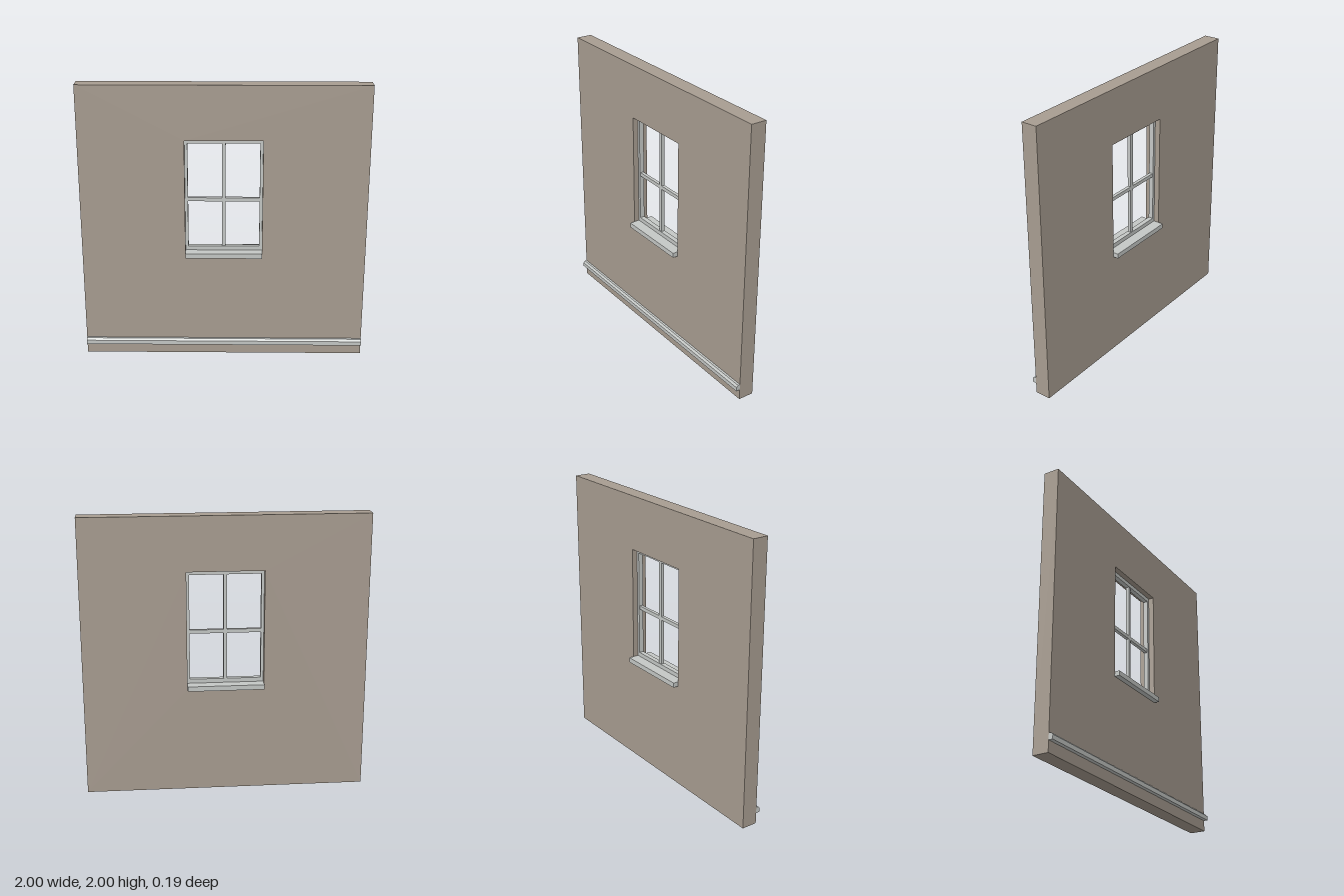
import * as THREE from 'three';

export function createModel() {
  const model = new THREE.Group();
  const plaster = new THREE.MeshStandardMaterial({ color: 0xa89d91 });
  plaster.name = 'plaster';
  const trim = new THREE.MeshStandardMaterial({ color: 0xc5c8c6 });
  trim.name = 'trim';

  const T = 0.056;                                  // half wall thickness
  const W = 0.27, bottom = 0.8, top = 1.615;        // window opening

  function add(name, geometry, material, parent = model) {
    const mesh = new THREE.Mesh(geometry, material);
    mesh.name = name;
    parent.add(mesh);
    return mesh;
  }
  function bar(name, x0, x1, y0, y1, halfDepth, parent) {
    const mesh = add(name, new THREE.BoxGeometry(x1 - x0, y1 - y0, halfDepth * 2), trim, parent);
    mesh.position.set((x0 + x1) / 2, (y0 + y1) / 2, 0);
  }
  function rectangle(Type, x0, x1, y0, y1) {
    return new Type([[x0, y0], [x1, y0], [x1, y1], [x0, y1]].map(([x, y]) => new THREE.Vector2(x, y)));
  }

  // Wall slab with the window opening
  const outline = rectangle(THREE.Shape, -1, 1, 0, 2);
  outline.holes.push(rectangle(THREE.Path, -W, W, bottom - 0.035, top));
  const wall = new THREE.ExtrudeGeometry(outline, { depth: T * 2, bevelEnabled: false });
  wall.translate(0, 0, -T);
  add('wall', wall, plaster);

  // Sill running through the wall and out on both sides
  bar('sill', -W, W, bottom - 0.035, bottom, 0.093, model);

  // Window frame and its glazing bars
  const frame = new THREE.Group();
  frame.name = 'windowFrame';
  model.add(frame);
  const inner = 0.25, railBottom = 0.83, railTop = 1.586;
  for (const s of [-1, 1]) {
    bar(s > 0 ? 'leftJamb' : 'rightJamb', s > 0 ? inner : -W, s > 0 ? W : -inner, bottom, top, 0.017, frame);
  }
  bar('bottomRail', -inner, inner, bottom, railBottom, 0.017, frame);
  bar('topRail', -inner, inner, railTop, top, 0.017, frame);
  bar('uprightBar', -0.013, 0.013, railBottom, railTop, 0.012, frame);
  for (const s of [-1, 1]) {
    bar('crossBar', s > 0 ? 0.013 : -inner, s > 0 ? inner : -0.013, 1.165, 1.191, 0.012, frame);
  }

  // Skirting rail with a chamfered top edge, swept along x
  const profile = new THREE.Shape(
    [[-T, 0.078], [-T, 0.122], [-0.072, 0.122], [-0.085, 0.108], [-0.085, 0.078]]
      .map(([z, y]) => new THREE.Vector2(z, y)));
  const rail = new THREE.ExtrudeGeometry(profile, { depth: 2, bevelEnabled: false });
  rail.translate(0, 0, -1);
  rail.rotateY(Math.PI / 2);
  add('skirtingRail', rail, trim);

  return model;
}
